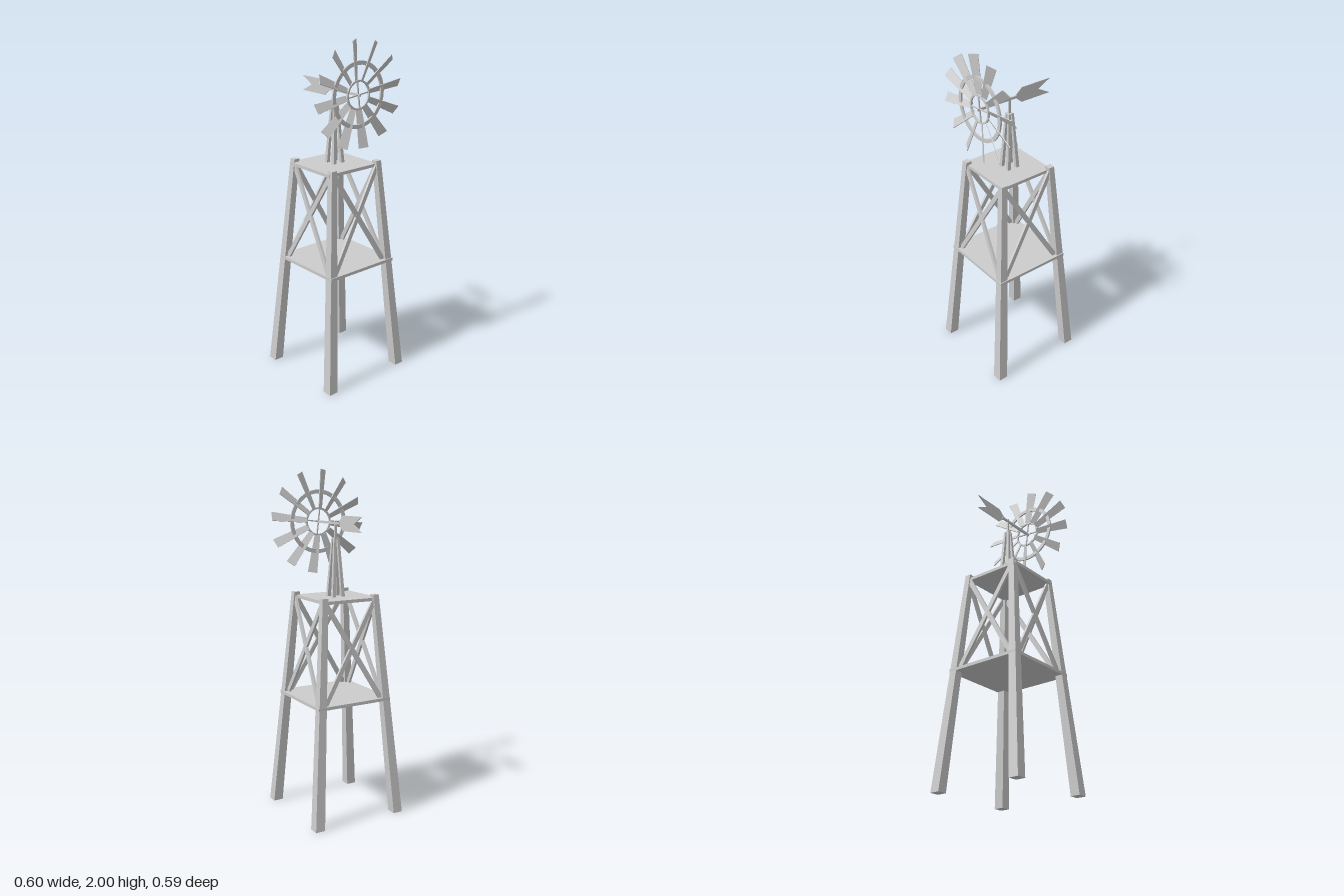
import * as THREE from 'three';

const mat = new THREE.MeshStandardMaterial({ color: 0xcccccc, flatShading: true });

function add(parent, geo, name) {
  const m = new THREE.Mesh(geo, mat);
  m.name = name;
  parent.add(m);
  return m;
}

function box(parent, name, w, h, d, x, y, z) {
  const m = add(parent, new THREE.BoxGeometry(w, h, d), name);
  m.position.set(x, y, z);
  return m;
}

// Leaning, tapering square post with level ends; a and b are [x, y, z, width]
function post(parent, name, a, b) {
  const geo = new THREE.BoxGeometry(1, 1, 1);
  const p = geo.attributes.position;
  for (let i = 0; i < p.count; i++) {
    const [x, y, z, w] = p.getY(i) < 0 ? a : b;
    p.setXYZ(i, x + p.getX(i) * w, y, z + p.getZ(i) * w);
  }
  geo.computeVertexNormals();
  return add(parent, geo, name);
}

// Flat bar between two points, its thin side facing `out`
function bar(parent, name, a, b, width, depth, out) {
  const dir = b.clone().sub(a);
  const m = add(parent, new THREE.BoxGeometry(width, dir.length(), depth), name);
  dir.normalize();
  const side = dir.clone().cross(out).normalize();
  const n = side.clone().cross(dir).normalize();
  m.quaternion.setFromRotationMatrix(new THREE.Matrix4().makeBasis(side, dir, n));
  m.position.copy(a).add(b).multiplyScalar(0.5);
  return m;
}

// Flat ring with a rectangular section, centred on z = 0
function ring(parent, name, outer, inner, depth, segments) {
  const s = new THREE.Shape().absarc(0, 0, outer, 0, Math.PI * 2);
  s.holes.push(new THREE.Path().absarc(0, 0, inner, 0, Math.PI * 2, true));
  const geo = new THREE.ExtrudeGeometry(s, { depth, bevelEnabled: false, curveSegments: segments });
  geo.translate(0, 0, -depth / 2);
  return add(parent, geo, name);
}

function createTower() {
  const tower = new THREE.Group();
  tower.name = 'tower';
  for (const sx of [-1, 1]) for (const sz of [-1, 1]) {
    post(tower, 'leg', [sx * 0.264, 0, sz * 0.264, 0.058], [sx * 0.165, 1.3, sz * 0.165, 0.036]);
  }
  box(tower, 'lowerPlatform', 0.474, 0.018, 0.474, 0.002, 0.692, 0.002);
  box(tower, 'upperPlatform', 0.355, 0.018, 0.345, -0.012, 1.273, -0.003);

  // Crossed braces on all four sides
  for (let k = 0; k < 4; k++) {
    const face = new THREE.Group();
    face.name = 'braces';
    face.rotation.y = k * Math.PI / 2;
    for (const s of [-1, 1]) {
      bar(face, 'brace', new THREE.Vector3(-s * 0.19, 0.69, 0.21),
        new THREE.Vector3(s * 0.16, 1.27, 0.172), 0.027, 0.014, new THREE.Vector3(0, 0, 1));
    }
    tower.add(face);
  }
  return tower;
}

function createHead() {
  const head = new THREE.Group();
  head.name = 'head';
  const cz = -0.009;
  // Four struts that meet under the mast
  for (const sx of [-1, 1]) for (const sz of [-1, 1]) {
    post(head, 'strut', [sx * 0.03, 1.275, cz + sz * 0.03, 0.021], [sx * 0.01, 1.615, cz + sz * 0.01, 0.014]);
  }
  box(head, 'mastCap', 0.034, 0.006, 0.034, 0, 1.612, cz);
  box(head, 'mast', 0.012, 0.11, 0.012, 0, 1.655, cz);
  box(head, 'axle', 0.01, 0.014, 0.265, 0, 1.698, 0.07);

  // Tail vane, drawn in the z-y plane
  const vane = new THREE.Shape([
    [0.05, -0.008], [0.092, -0.043], [0.288, -0.043], [0.207, 0],
    [0.288, 0.043], [0.092, 0.043], [0.05, 0.008],
  ].map(([x, y]) => new THREE.Vector2(x, y)));
  const geo = new THREE.ExtrudeGeometry(vane, { depth: 0.005, bevelEnabled: false });
  geo.translate(0, 0, -0.0025);
  const tail = add(head, geo, 'tailVane');
  tail.rotation.y = Math.PI / 2;
  tail.position.y = 1.7;
  return head;
}

function createWheel() {
  const wheel = new THREE.Group();
  wheel.name = 'wheel';
  wheel.position.set(0, 1.698, 0.188);
  wheel.rotation.z = THREE.MathUtils.degToRad(7);
  ring(wheel, 'outerRing', 0.184, 0.162, 0.01, 24);
  ring(wheel, 'innerRing', 0.082, 0.072, 0.01, 24);
  box(wheel, 'spoke', 0.16, 0.007, 0.007, 0, 0, 0);
  box(wheel, 'spoke', 0.007, 0.16, 0.007, 0, 0, 0);

  // Twelve pitched blades, wider at the tip and coned slightly forward
  const r0 = 0.078, r1 = 0.3;
  for (let i = 0; i < 12; i++) {
    const arm = new THREE.Group();
    arm.name = 'bladeArm';
    arm.rotation.z = i * Math.PI / 6;
    const geo = new THREE.BoxGeometry(r1 - r0, 1, 0.004);
    const p = geo.attributes.position;
    for (let j = 0; j < p.count; j++) {
      p.setY(j, p.getY(j) * (p.getX(j) > 0 ? 0.056 : 0.033));
    }
    geo.computeVertexNormals();
    geo.rotateX(THREE.MathUtils.degToRad(30));
    geo.rotateY(-0.06);
    const blade = add(arm, geo, 'blade');
    blade.position.x = (r0 + r1) / 2;
    wheel.add(arm);
  }
  return wheel;
}

export function createModel() {
  const model = new THREE.Group();
  model.name = 'windPump';
  model.add(createTower(), createHead(), createWheel());
  return model;
}
